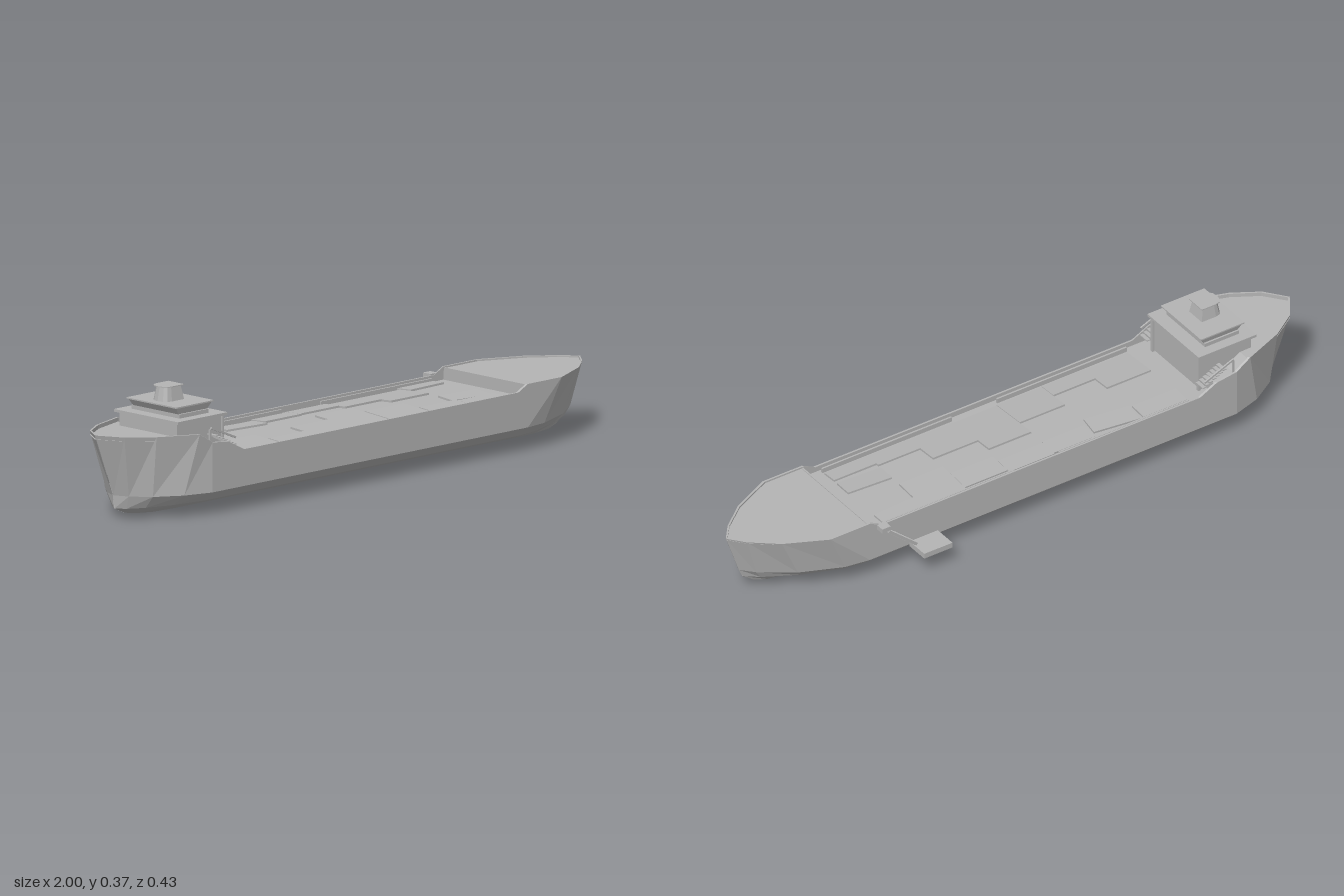
import * as THREE from 'three';

const CZ = 0.038; // centreline of the ship
const grey = new THREE.MeshStandardMaterial({ color: 0xb4b4b4, side: THREE.DoubleSide });
grey.name = 'ship grey';

// Flat-shaded surface through rows of [x, y, z] points
function loft(rows, flip = false) {
  const pos = [];
  for (let j = 0; j + 1 < rows.length; j++) {
    for (let i = 0; i + 1 < rows[j].length; i++) {
      const a = rows[j][i], b = rows[j][i + 1], c = rows[j + 1][i + 1], d = rows[j + 1][i];
      const tris = flip ? [a, c, b, a, d, c] : [a, b, c, a, c, d];
      tris.forEach((p) => pos.push(...p));
    }
  }
  const g = new THREE.BufferGeometry();
  g.setAttribute('position', new THREE.Float32BufferAttribute(pos, 3));
  g.computeVertexNormals();
  return g;
}

function add(parent, name, geo) {
  const m = new THREE.Mesh(geo, grey);
  m.name = name;
  parent.add(m);
  return m;
}

// Box from its bounds
function box(parent, name, x0, x1, y0, y1, z0, z1) {
  const m = add(parent, name, new THREE.BoxGeometry(x1 - x0, y1 - y0, z1 - z0));
  m.position.set((x0 + x1) / 2, (y0 + y1) / 2, (z0 + z1) / 2);
  return m;
}

// Box whose upper end is scaled by kx, kz
function taper(parent, name, x, y0, y1, w, d, kx, kz) {
  const g = new THREE.BoxGeometry(w, y1 - y0, d);
  const p = g.attributes.position;
  for (let i = 0; i < p.count; i++) {
    if (p.getY(i) > 0) p.setXYZ(i, p.getX(i) * kx, p.getY(i), p.getZ(i) * kz);
  }
  g.computeVertexNormals();
  add(parent, name, g).position.set(x, (y0 + y1) / 2, 0);
}

function buildHull(ship) {
  // Each line runs stern to bow as x, y and half width
  const same = (y) => Array(13).fill(y);
  const lines = [
    { x: [-0.88, -0.87, -0.84, -0.78, -0.69, -0.62, -0.56, 0.57, 0.6, 0.7, 0.8, 0.86, 0.9],
      y: [0.012, 0.01, 0.006, 0.002, 0, 0, 0, 0, 0, 0, 0, 0.004, 0.012],
      h: [0.001, 0.006, 0.012, 0.02, 0.02, 0.02, 0.02, 0.02, 0.02, 0.02, 0.015, 0.01, 0.001] },
    { x: [-0.92, -0.9, -0.86, -0.79, -0.69, -0.62, -0.56, 0.57, 0.61, 0.68, 0.8, 0.9, 0.942],
      y: [0.03, 0.03, 0.033, 0.038, 0.042, 0.042, 0.042, 0.042, 0.042, 0.042, 0.042, 0.042, 0.042],
      h: [0.001, 0.03, 0.07, 0.115, 0.147, 0.147, 0.147, 0.147, 0.147, 0.135, 0.09, 0.035, 0.001] },
    { x: [-0.925, -0.905, -0.86, -0.78, -0.69, -0.62, -0.56, 0.57, 0.61, 0.69, 0.82, 0.92, 0.955],
      y: same(0.07),
      h: [0.001, 0.045, 0.1, 0.15, 0.177, 0.177, 0.177, 0.177, 0.177, 0.165, 0.11, 0.04, 0.001] },
    { x: [-1, -0.95, -0.87, -0.74, -0.69, -0.62, -0.56, 0.57, 0.61, 0.75, 0.88, 0.96, 1],
      y: [0.26, 0.257, 0.254, 0.25, 0.22, 0.21, 0.18, 0.18, 0.2, 0.2, 0.2, 0.2, 0.2],
      h: [0.001, 0.072, 0.125, 0.174, 0.177, 0.177, 0.177, 0.177, 0.177, 0.177, 0.115, 0.05, 0.001] },
  ];
  const row = (l, s, from = 0, to = 13, y = null) =>
    l.x.slice(from, to).map((x, i) => [x, y ?? l.y[from + i], s * l.h[from + i]]);

  for (const s of [1, -1]) {
    add(ship, s > 0 ? 'hullSideFront' : 'hullSideBack', loft(lines.map((l) => row(l, s)), s < 0));
    // Rail lip along the top of the bulwark
    const top = row(lines[3], s);
    const inner = top.map(([x, y, z]) => [x * 0.994, y, z * 0.965]);
    const low = inner.map(([x, y, z]) => [x, y - 0.012, z]);
    add(ship, 'bulwarkRail', loft([top, inner, low], s < 0));
  }
  add(ship, 'hullBottom', loft([row(lines[0], -1), row(lines[0], 1)]));

  // Decks at three levels
  const deck = (name, from, to, y, drop) => {
    const r = (s) => row(lines[3], s, from, to, y).map(([x, yy, z], i) =>
      [x, y ?? lines[3].y[from + i] - drop, z * 0.985]);
    add(ship, name, loft([r(1), r(-1)]));
  };
  deck('poopDeck', 0, 6, null, 0.012);
  deck('mainDeck', 5, 9, 0.16, 0);
  deck('forecastleDeck', 8, 13, null, 0.005);
  box(ship, 'poopBulkhead', -0.625, -0.62, 0.16, 0.198, -0.174, 0.174);
  box(ship, 'forecastleBulkhead', 0.61, 0.615, 0.16, 0.197, -0.174, 0.174);
}

function buildCargoCovers(ship) {
  // x0, x1, z0, z1, turn: gently sloped covers on the main deck
  const covers = [
    [-0.535, -0.38, -0.11, -0.05, 0], [-0.37, -0.22, -0.1, -0.035, 0.12],
    [-0.21, -0.06, -0.11, -0.05, 0], [-0.06, 0.1, -0.115, -0.055, 0],
    [0.1, 0.25, -0.105, -0.03, 0], [0.25, 0.405, -0.11, 0.01, 0],
    [0.405, 0.55, -0.125, -0.07, -0.06],
    [-0.525, -0.37, 0.065, 0.185, 0], [-0.37, -0.22, 0.125, 0.185, 0],
    [-0.22, -0.06, 0.065, 0.185, 0], [-0.06, 0.09, 0.005, 0.185, 0],
    [0.09, 0.25, 0.06, 0.185, 0], [0.25, 0.4, 0.125, 0.185, 0],
    [0.4, 0.55, 0.055, 0.12, 0.06], [0.4, 0.55, 0.135, 0.185, 0],
  ];
  for (const [x0, x1, z0, z1, turn] of covers) {
    const side = (z0 + z1) / 2 > CZ ? 1 : -1;
    const m = box(ship, 'cargoCover', x0, x1, 0.163, 0.169, z0 - CZ, z1 - CZ);
    m.rotation.set(side * 0.07, -turn, 0);
  }
  // Low coamings beside the rails
  for (const [x0, x1] of [[-0.53, -0.07], [0.09, 0.55]]) {
    for (const s of [1, -1]) {
      box(ship, 'sideCoaming', x0, x1, 0.16, 0.175, s * 0.161 - 0.003, s * 0.161 + 0.003);
    }
  }
}

function buildHouse(ship) {
  const house = new THREE.Group();
  house.name = 'deckHouse';
  ship.add(house);
  box(house, 'houseBody', -0.78, -0.6, 0.16, 0.28, -0.12, 0.12);
  box(house, 'bridgeDeck', -0.79, -0.585, 0.28, 0.288, -0.133, 0.133);
  box(house, 'bridgeBase', -0.75, -0.63, 0.288, 0.3, -0.1, 0.1);
  taper(house, 'bridgeWindows', -0.69, 0.3, 0.32, 0.12, 0.188, 1.22, 1.06);
  box(house, 'bridgeRoof', -0.767, -0.613, 0.32, 0.324, -0.104, 0.104);
  // Funnel: rounded towards the stern
  const s = new THREE.Shape();
  s.moveTo(0.035, -0.033);
  s.lineTo(0.035, 0.033);
  s.lineTo(-0.015, 0.033);
  s.quadraticCurveTo(-0.04, 0.033, -0.042, 0);
  s.quadraticCurveTo(-0.04, -0.033, -0.015, -0.033);
  const prism = (h) => new THREE.ExtrudeGeometry(s, { depth: h, bevelEnabled: false, curveSegments: 3 })
    .rotateX(-Math.PI / 2);
  const g = prism(0.044);
  const p = g.attributes.position;
  for (let i = 0; i < p.count; i++) {
    const k = 1 - p.getY(i) * 5;
    p.setXYZ(i, p.getX(i) * k, p.getY(i), p.getZ(i) * k);
  }
  g.computeVertexNormals();
  add(house, 'funnel', g).position.set(-0.7, 0.324, 0);
  add(house, 'funnelCap', prism(0.003)).position.set(-0.7, 0.366, 0);

  // Side ladders, posts and davits on each side of the house
  for (const s2 of [1, -1]) {
    const zz = (a, b) => (s2 > 0 ? [a, b] : [-b, -a]);
    for (let i = 0; i < 7; i++) {
      const x = -0.585 - i * 0.012, y = 0.195 + i * 0.006;
      box(house, 'ladderStep', x - 0.006, x + 0.006, y, y + 0.003, ...zz(0.126, 0.163));
    }
    box(house, 'housePost', -0.597, -0.59, 0.16, 0.28, ...zz(0.114, 0.124));
    box(house, 'railPost', -0.69, -0.684, 0.2, 0.256, ...zz(0.16, 0.166));
    const rail = box(house, 'ladderRail', -0.69, -0.58, 0.236, 0.242, ...zz(0.163, 0.168));
    rail.rotation.z = -0.4;
  }
}

function buildGangway(ship) {
  const z0 = -0.166 - CZ, z1 = -0.141 - CZ;
  box(ship, 'gangwayPlatform', 0.37, 0.47, 0.063, 0.08, -0.215 - CZ, -0.139 - CZ);
  box(ship, 'gangwayLanding', 0.555, 0.585, 0.17, 0.185, z0, -0.135 - CZ);
  const n = 15;
  for (let i = 0; i < n; i++) {
    const x = 0.462 + (0.1 * i) / n, y = 0.084 + (0.086 * i) / n;
    box(ship, 'gangwayStep', x, x + 0.01, y, y + 0.003, z0, z1);
  }
  for (const z of [z0, z1]) {
    const r = box(ship, 'gangwayStringer', 0.447, 0.577, 0.122, 0.13, z - 0.0015, z + 0.0015);
    r.rotation.z = Math.atan2(0.086, 0.1);
  }
}

export function createModel() {
  const model = new THREE.Group();
  model.name = 'cargoShip';
  const ship = new THREE.Group();
  ship.name = 'ship';
  ship.position.z = CZ;
  model.add(ship);
  buildHull(ship);
  buildCargoCovers(ship);
  buildHouse(ship);
  buildGangway(ship);
  return model;
}
